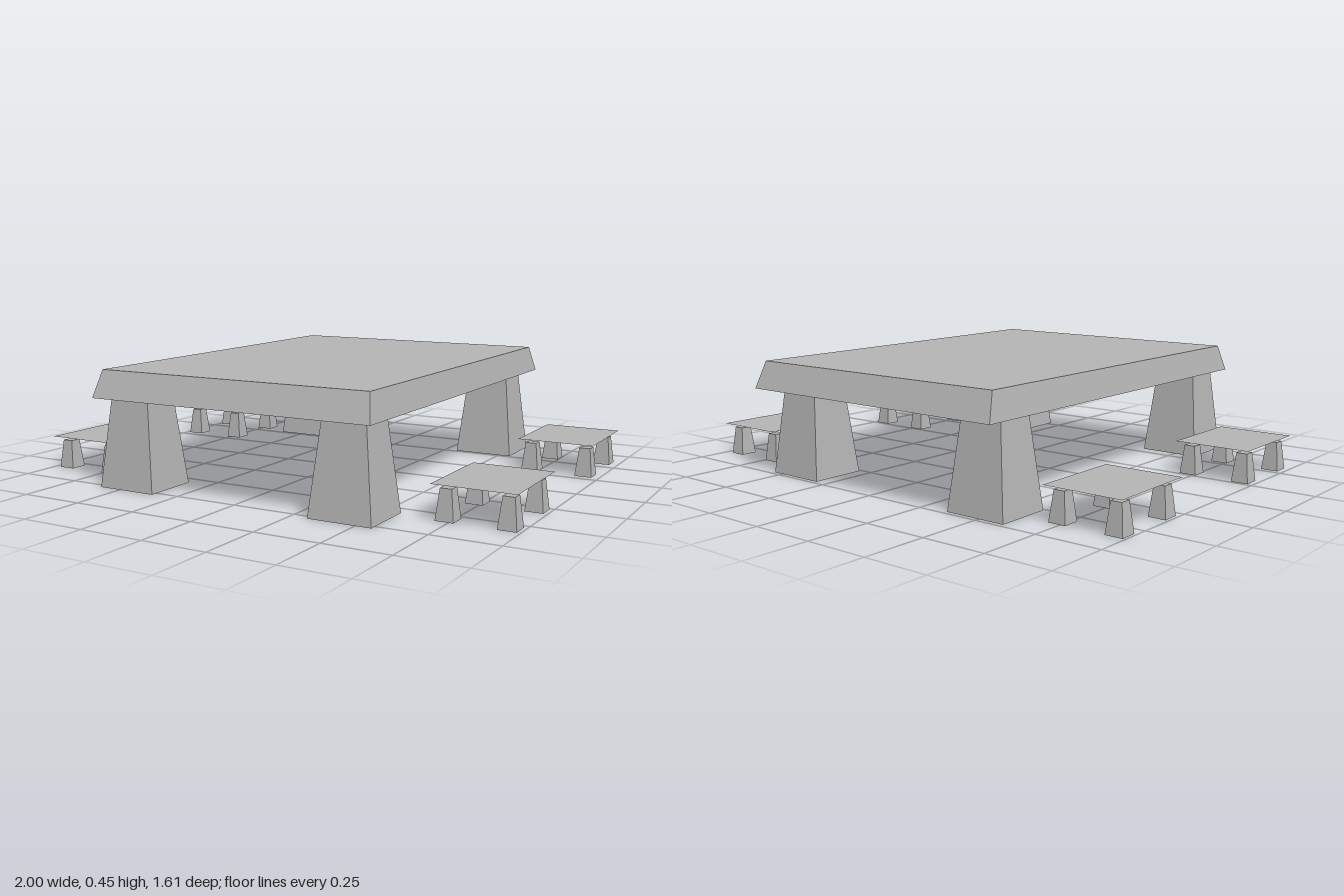
import * as THREE from 'three';

const stone = new THREE.MeshStandardMaterial({ color: 0xb4b4b4, side: THREE.DoubleSide });
stone.name = 'grey stone';

// Everything leans slightly sideways along z
const SKEW = 0.0094;
const skewed = (geometry) =>
  geometry.applyMatrix4(new THREE.Matrix4().set(1, 0, SKEW, 0, 0, 1, 0, 0, 0, 0, 1, 0, 0, 0, 0, 1));

// Four-sided block standing on y = 0, open underneath, with its own bottom and top sizes
function taperedBlock(bottom, top, height) {
  const box = new THREE.BoxGeometry(1, height, 1).translate(0, height / 2, 0);
  const pos = box.attributes.position;
  for (let i = 0; i < pos.count; i++) {
    const [w, d] = pos.getY(i) > height / 2 ? top : bottom;
    pos.setX(i, pos.getX(i) * w);
    pos.setZ(i, pos.getZ(i) * d);
  }
  const index = Array.from(box.index.array);
  index.splice(18, 6); // the bottom face
  box.setIndex(index);
  box.clearGroups();
  skewed(box).computeVertexNormals();
  return box;
}

function place(parent, name, object, x, y, z) {
  object.name = name;
  object.position.set(x + SKEW * z, y, z);
  parent.add(object);
  return object;
}

export function createModel() {
  const model = new THREE.Group();
  model.name = 'tableWithStools';

  // Table: a hollow bevelled top over four tapered legs that end inside its rim
  const table = place(model, 'table', new THREE.Group(), 0, 0, 0);
  const slab = taperedBlock([1.163, 1.608], [1.122, 1.53], 0.104);
  place(table, 'tableTop', new THREE.Mesh(slab, stone), -0.022, 0.342, -0.003);
  const tableLeg = taperedBlock([0.244, 0.221], [0.16, 0.143], 0.383);
  for (const x of [-0.476, 0.431])
    for (const z of [-0.622, 0.666])
      place(table, 'tableLeg', new THREE.Mesh(tableLeg, stone), x, 0, z);

  // Four low stools: a thin sheet seat just above four small legs
  const seat = skewed(new THREE.PlaneGeometry(0.305, 0.378).rotateX(-Math.PI / 2));
  const stoolLeg = taperedBlock([0.068, 0.068], [0.043, 0.044], 0.112);
  for (const [x, z] of [[-0.841, -0.452], [0.83, -0.452], [-0.838, 0.426], [0.838, 0.425]]) {
    const stool = place(model, 'stool', new THREE.Group(), x, 0, z);
    place(stool, 'seat', new THREE.Mesh(seat, stone), 0, 0.13, 0);
    for (const sx of [-1, 1])
      for (const sz of [-1, 1])
        place(stool, 'stoolLeg', new THREE.Mesh(stoolLeg, stone), sx * 0.11, 0, sz * 0.132);
  }
  return model;
}
